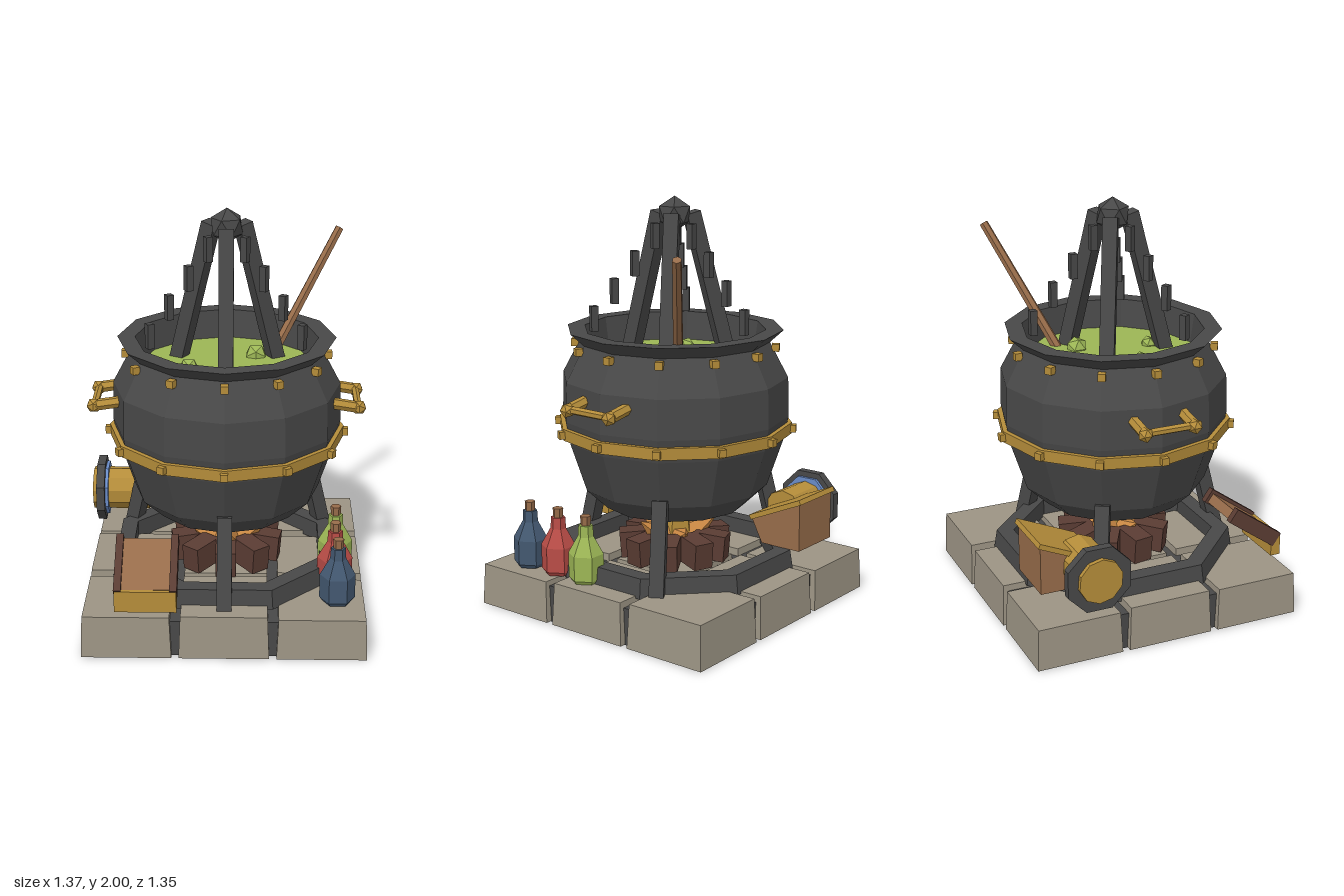
import * as THREE from 'three';

const V = (x, y, z) => new THREE.Vector3(x, y, z);
const mat = (name, color) => {
  const m = new THREE.MeshStandardMaterial({ color, flatShading: true, side: THREE.DoubleSide });
  m.name = name;
  return m;
};

export function createModel() {
  const iron = mat('iron', 0x484848), stone = mat('stone', 0x9c9484), brass = mat('brass', 0xb58d3a);
  const green = mat('green', 0x9cb655), wood = mat('wood', 0x976c4a), darkWood = mat('dark wood', 0x5a3c33);
  const red = mat('red', 0xb84c46), navy = mat('navy', 0x435870), blue = mat('blue', 0x6a8cc8);
  const orange = mat('orange', 0xcc8a45);

  const model = new THREE.Group();
  const group = (name, parent = model) => {
    const g = new THREE.Group();
    g.name = name;
    parent.add(g);
    return g;
  };
  const add = (parent, name, geo, material, x = 0, y = 0, z = 0) => {
    const m = new THREE.Mesh(geo, material);
    m.name = name;
    m.position.set(x, y, z);
    parent.add(m);
    return m;
  };
  const box = (parent, name, w, h, d, material, x, y, z) =>
    add(parent, name, new THREE.BoxGeometry(w, h, d), material, x, y, z);
  const lathe = (parent, name, pts, sides, material, x = 0, y = 0, z = 0) =>
    add(parent, name, new THREE.LatheGeometry(pts.map(p => new THREE.Vector2(...p)), sides), material, x, y, z);
  // Stretches an upright geometry maker between two points
  const span = (parent, name, a, b, make, material) => {
    const d = b.clone().sub(a);
    const m = add(parent, name, make(d.length()), material);
    m.position.copy(a).addScaledVector(d, 0.5);
    m.quaternion.setFromUnitVectors(V(0, 1, 0), d.normalize());
    return m;
  };
  const beam = w => l => new THREE.BoxGeometry(w, l, w);
  const rod = (r0, r1 = r0, n = 6) => l => new THREE.CylinderGeometry(r1, r0, l, n);
  const CX = 0.01;

  // Paving: nine tapered blocks over a dark slab
  const base = group('base');
  base.position.x = CX;
  box(base, 'slab', 1.28, 0.18, 1.28, iron, 0, 0.09, 0);
  for (let i = -1; i <= 1; i++) for (let j = -1; j <= 1; j++) {
    const h = 0.203 + 0.006 * ((i + 2 * j + 3) % 3);
    const b = add(base, 'pavingBlock', new THREE.CylinderGeometry(0.204 * Math.SQRT2, 0.213 * Math.SQRT2, h, 4),
      stone, i * 0.46, 0.003 + h / 2, j * 0.462);
    b.rotation.y = Math.PI / 4;
  }

  // Fire pit
  const fire = group('firePit');
  fire.position.x = CX;
  lathe(fire, 'fireRing', [[0.5, 0.2], [0.6, 0.2], [0.585, 0.295], [0.5, 0.295], [0.5, 0.2]], 8, iron)
    .rotation.y = Math.PI / 8;
  for (let i = 0; i < 9; i++) {
    const spoke = group('log', fire);
    spoke.rotation.y = i * Math.PI * 2 / 9;
    box(spoke, 'logBlock', 0.1, 0.13, 0.16, darkWood, 0, 0.29, 0.19).rotation.x = 0.08;
  }
  add(fire, 'flameCore', new THREE.CylinderGeometry(0.075, 0.1, 0.24, 6), brass, 0, 0.39, 0);
  for (let i = 0; i < 5; i++) {
    const a = i * Math.PI * 0.4 + 1.3;
    const r = i % 2 ? 0.17 : 0.21;
    span(fire, 'flame', V(Math.sin(a) * 0.03, 0.3, Math.cos(a) * 0.03),
      V(Math.sin(a) * r, i % 2 ? 0.38 : 0.43, Math.cos(a) * r), rod(0.1, 0, 5), orange);
  }

  // Cauldron
  const pot = group('cauldron');
  pot.position.x = CX;
  lathe(pot, 'body', [[0, 0.5], [0.35, 0.5], [0.455, 0.6], [0.535, 0.84], [0.556, 0.95], [0.55, 1.14],
    [0.46, 1.31], [0.525, 1.37], [0.44, 1.37], [0.415, 1.2]], 12, iron);
  lathe(pot, 'band', [[0.53, 0.862], [0.57, 0.862], [0.572, 0.918], [0.53, 0.918]], 12, brass);
  add(pot, 'brew', new THREE.CylinderGeometry(0.42, 0.42, 0.02, 12), green, 0, 1.22, 0);
  for (const [x, z, r] of [[-0.18, 0.07, 0.05], [0.05, 0.215, 0.04], [0.14, -0.13, 0.055]])
    add(pot, 'bubble', new THREE.IcosahedronGeometry(r, 0), green, x, 1.235, z);
  for (let i = 0; i < 12; i++) {
    const spoke = group('rivets', pot);
    spoke.rotation.y = i * Math.PI / 6;
    box(spoke, 'bandRivet', 0.036, 0.036, 0.036, brass, 0, 0.89, 0.575);
    box(spoke, 'rimRivet', 0.036, 0.036, 0.036, brass, 0, 1.285, 0.488);
  }
  for (const s of [-1, 1]) {
    const handle = group('handle', pot);
    for (const z of [-0.125, 0.125]) {
      span(handle, 'handleArm', V(s * 0.49, 1.085, z), V(s * 0.635, 1.062, z), rod(0.028), brass);
      add(handle, 'handleKnob', new THREE.IcosahedronGeometry(0.037, 0), brass, s * 0.635, 1.062, z);
    }
    span(handle, 'handleBar', V(s * 0.63, 1.065, -0.125), V(s * 0.63, 1.065, 0.125), rod(0.019), brass);
  }

  // Legs, tripod struts and hanging links, three of each
  const frame = group('frame');
  frame.position.x = CX;
  for (let i = 0; i < 3; i++) {
    const spoke = group('frameSide', frame);
    spoke.rotation.y = i * Math.PI * 2 / 3;
    span(spoke, 'leg', V(0, 0.19, 0.58), V(0, 0.64, 0.465), beam(0.07), iron);
    span(spoke, 'strut', V(0, 1.12, 0.3), V(0, 1.92, 0.085), beam(0.07), iron);
    for (let k = 0; k < 4; k++)
      box(spoke, 'chainLink', 0.034, 0.12, 0.034, iron, 0, 1.815 - k * 0.125, -0.1 - k * 0.103);
  }
  add(frame, 'finial', new THREE.IcosahedronGeometry(0.085, 0), iron, 0, 1.915, 0)
    .rotation.z = Math.atan(2 / (1 + Math.sqrt(5)));
  span(model, 'stirringStick', V(0.19, 1.14, -0.165), V(0.56, 1.795, -0.445), rod(0.026, 0.022), wood);

  // Potion bottles
  for (const [x, z, m] of [[0.545, 0.475, navy], [0.54, 0.295, red], [0.55, 0.11, green]]) {
    const bottle = group('bottle');
    bottle.position.set(x, 0.21, z);
    bottle.rotation.y = Math.PI / 6;
    lathe(bottle, 'glass', [[0, 0], [0.07, 0], [0.085, 0.02], [0.085, 0.14], [0.038, 0.225],
      [0.035, 0.28], [0, 0.28]], 6, m);
    add(bottle, 'cork', new THREE.CylinderGeometry(0.026, 0.024, 0.05, 6), wood, 0, 0.3, 0);
  }

  // Tilted board with side rails and a brass front block
  const board = group('tiltedBoard');
  board.position.set(-0.355, 0.41, 0.53);
  board.rotation.x = 0.62;
  box(board, 'panel', 0.24, 0.05, 0.27, wood, 0, 0, 0);
  for (const s of [-1, 1]) box(board, 'rail', 0.035, 0.075, 0.3, darkWood, s * 0.13, 0.005, 0);
  box(model, 'frontBlock', 0.29, 0.105, 0.05, brass, -0.355, 0.298, 0.65);

  // Slanted bin at the back with a brass lid
  const side = new THREE.Shape([[0.37, 0.295], [0.59, 0.295], [0.59, 0.535], [0.31, 0.41]]
    .map(p => new THREE.Vector2(...p)));
  const bin = add(model, 'bin', new THREE.ExtrudeGeometry(side, { depth: 0.28, bevelEnabled: false }), wood, -0.495, 0, 0);
  bin.rotation.y = Math.PI / 2;
  box(model, 'binLid', 0.305, 0.025, 0.32, brass, -0.355, 0.483, -0.452).rotation.x = 0.42;

  // Sideways barrel with an iron collar and blue washer
  const barrel = group('barrel');
  barrel.position.set(0, 0.408, -0.37);
  const disc = (name, r, x0, x1, n, m) => {
    const d = add(barrel, name, new THREE.CylinderGeometry(r, r, x1 - x0, n), m, (x0 + x1) / 2, 0, 0);
    d.rotation.set(Math.PI / 8, 0, Math.PI / 2);
  };
  disc('drum', 0.11, -0.69, -0.4, 10, brass);
  disc('collar', 0.168, -0.668, -0.626, 8, iron);
  disc('washer', 0.138, -0.626, -0.61, 8, blue);

  return model;
}
